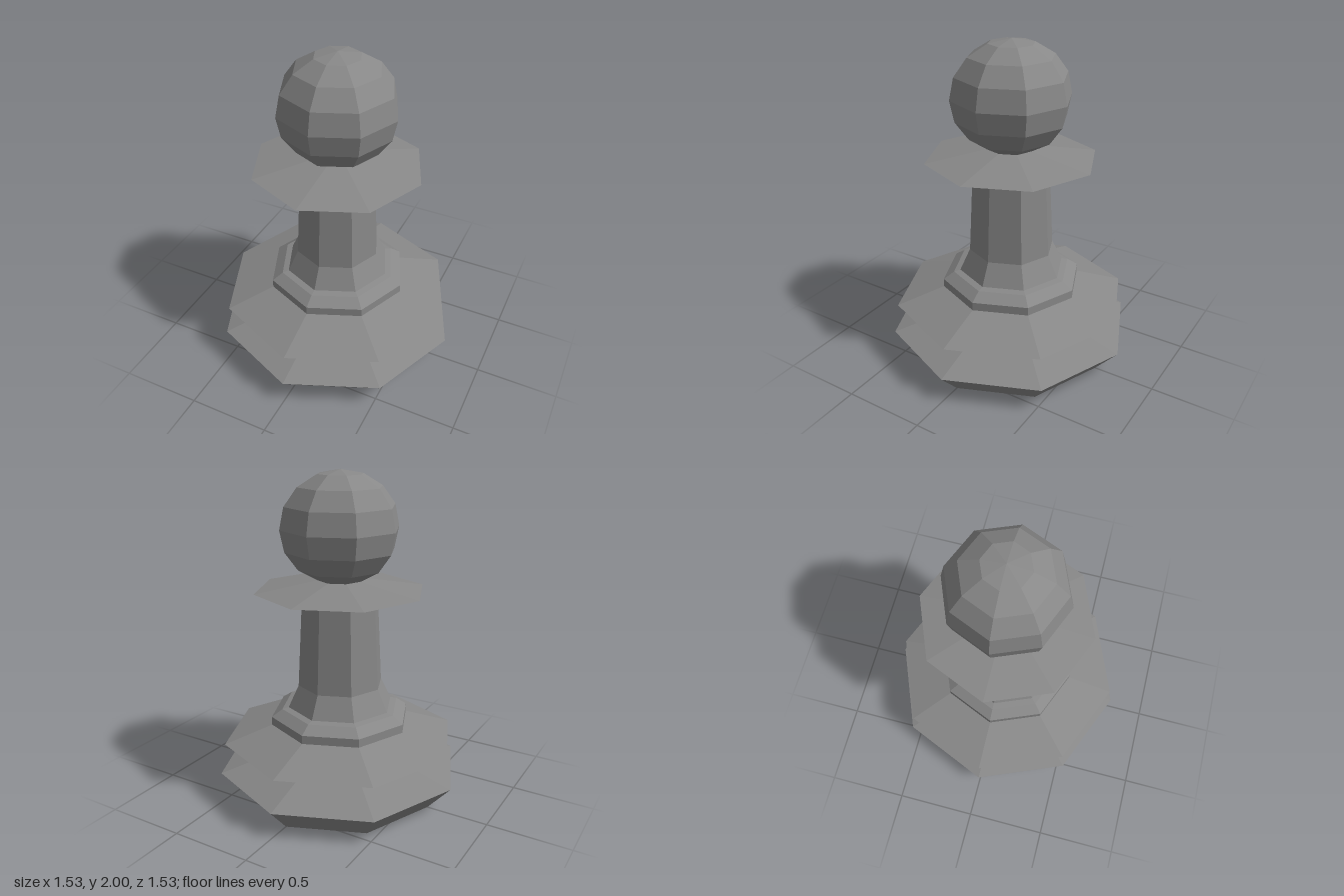
import * as THREE from 'three';

const SIDES = 8;

const material = new THREE.MeshStandardMaterial({
  color: 0x888888,
  flatShading: true,
  side: THREE.DoubleSide, // hollow shell, open underneath
});

// Turn a [radius, height] profile into an eight-sided faceted part
function turned(name, profile) {
  const points = profile.map(([r, y]) => new THREE.Vector2(r, y));
  const geometry = new THREE.LatheGeometry(points, SIDES).toNonIndexed();
  geometry.computeVertexNormals();
  const mesh = new THREE.Mesh(geometry, material);
  mesh.name = name;
  return mesh;
}

export function createModel() {
  const group = new THREE.Group();
  group.name = 'pawn';

  // Flared foot and the sharp ring above it
  group.add(turned('foot', [[0.62, 0], [0.764, 0.16], [0.49, 0.245]]));
  group.add(turned('baseRing', [[0.49, 0.245], [0.733, 0.355], [0.437, 0.455]]));

  // Stepped shoulder under the shaft
  group.add(turned('shoulder', [[0.437, 0.455], [0.437, 0.507], [0.37, 0.553], [0.33, 0.562]]));

  // Tapering shaft
  group.add(turned('shaft', [[0.33, 0.562], [0.265, 0.7], [0.237, 1.23]]));

  // Thin sharp collar
  group.add(turned('collar', [[0.237, 1.23], [0.522, 1.293], [0.14, 1.357]]));

  // Ball head
  group.add(turned('head', [
    [0.14, 1.357], [0.256, 1.422], [0.335, 1.532], [0.362, 1.662],
    [0.335, 1.794], [0.256, 1.902], [0.138, 1.974], [0, 2],
  ]));

  return group;
}
